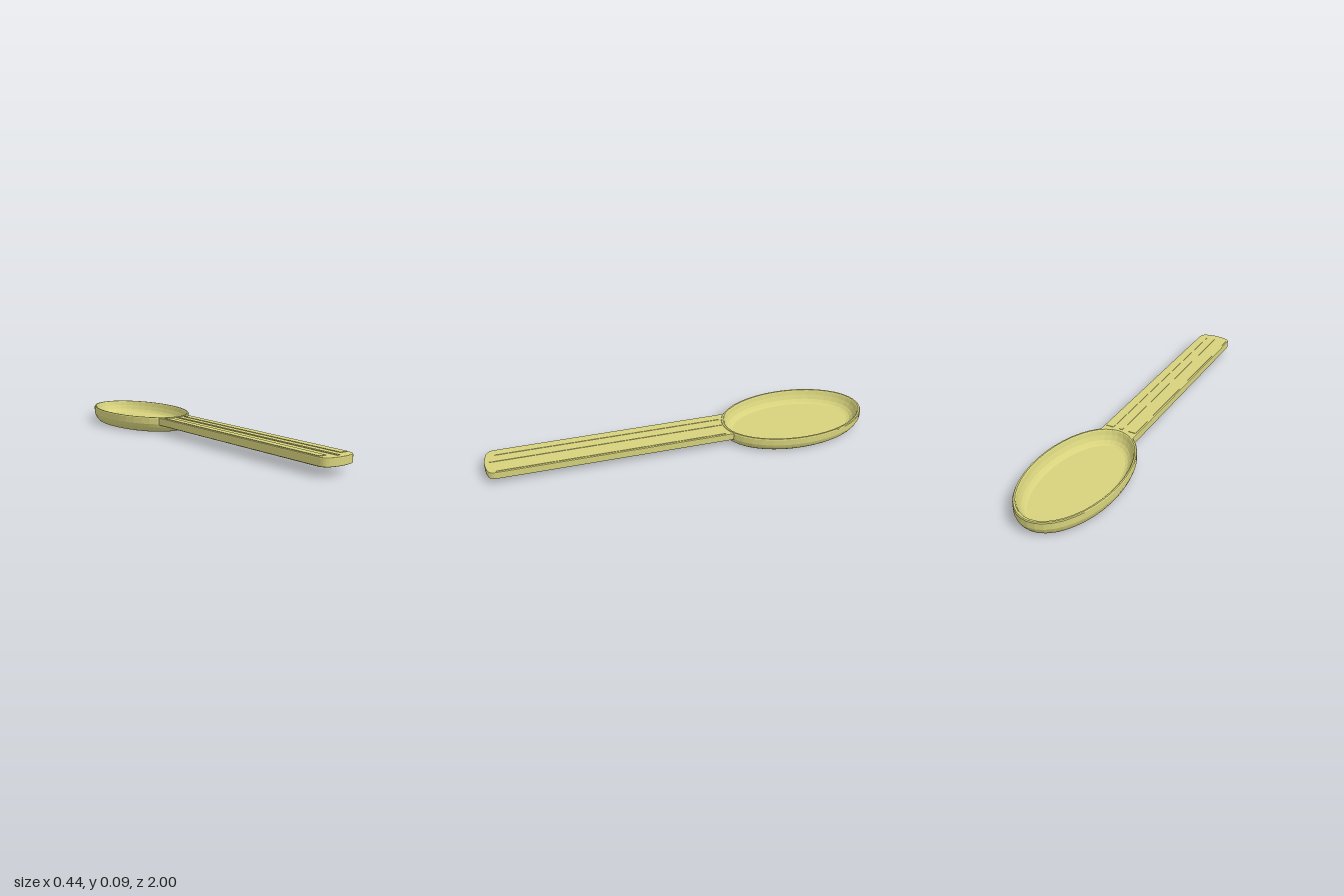
import * as THREE from 'three';

const BOWL_Z = -0.61, A = 0.222, B = 0.39, SEG = 40;

// Stacked ellipses from the underside, over the rim and down to the inner floor
function bowlGeometry() {
  const rings = [ // [inset, height]
    [0.036, 0], [0.026, 0.003], [0.015, 0.014], [0.006, 0.03], [0, 0.048], [0, 0.08],
    [0.003, 0.085], [0.01, 0.085], [0.014, 0.081], [0.02, 0.06], [0.03, 0.038], [0.042, 0.025], [0.054, 0.02],
  ];
  const pos = [], idx = [];
  for (const [inset, y] of rings) {
    for (let i = 0; i < SEG; i++) {
      const t = (i / SEG) * Math.PI * 2;
      pos.push((A - inset) * Math.sin(t), y, (B - inset * 1.25) * Math.cos(t));
    }
  }
  for (let r = 0; r < rings.length - 1; r++) {
    for (let i = 0; i < SEG; i++) {
      const j = (i + 1) % SEG, a = r * SEG + i, b = r * SEG + j;
      idx.push(a, b, b + SEG, a, b + SEG, a + SEG);
    }
  }
  // Flat underside and floor
  const bottom = pos.length / 3, floor = bottom + 1, last = (rings.length - 1) * SEG;
  pos.push(0, 0, 0, 0, 0.02, 0);
  for (let i = 0; i < SEG; i++) {
    const j = (i + 1) % SEG;
    idx.push(bottom, j, i, floor, last + i, last + j);
  }
  const g = new THREE.BufferGeometry();
  g.setAttribute('position', new THREE.Float32BufferAttribute(pos, 3));
  g.setIndex(idx);
  g.computeVertexNormals();
  return g;
}

// Flat bar with a rounded end; its other end follows the bowl's rim
function handleGeometry() {
  const w = 0.092, a = 0.215, b = 0.383, t0 = Math.asin(w / a);
  const s = new THREE.Shape();
  s.moveTo(-w, BOWL_Z + b * Math.cos(t0));
  for (let i = 1; i <= 8; i++) {
    const t = -t0 + (2 * t0 * i) / 8;
    s.lineTo(a * Math.sin(t), BOWL_Z + b * Math.cos(t));
  }
  s.lineTo(w, 0.945);
  s.quadraticCurveTo(w, 0.984, 0.056, 0.992);
  s.quadraticCurveTo(0, 1.008, -0.056, 0.992);
  s.quadraticCurveTo(-w, 0.984, -w, 0.945);
  const bevel = 0.005;
  const g = new THREE.ExtrudeGeometry(s, {
    depth: 0.041 - 2 * bevel, bevelEnabled: true, bevelSize: bevel, bevelThickness: bevel,
    bevelOffset: -bevel, bevelSegments: 2, curveSegments: 5,
  });
  g.rotateX(Math.PI / 2);
  g.translate(0, 0.083 - bevel, 0);
  return g;
}

export function createModel() {
  const model = new THREE.Group();
  const plastic = new THREE.MeshStandardMaterial({ color: 0xd6d27c, flatShading: true });
  plastic.name = 'pale yellow';

  const add = (name, geometry, x = 0, y = 0, z = 0) => {
    const m = new THREE.Mesh(geometry, plastic);
    m.name = name;
    m.position.set(x, y, z);
    model.add(m);
  };

  add('bowl', bowlGeometry(), 0, 0, BOWL_Z);
  add('handle', handleGeometry());

  // Shallow raised ribs on both faces of the handle
  const ribs = [[-0.083, -0.045, 0.945], [-0.01, 0.006, 0.975], [0.041, 0.083, 0.945]];
  for (const [x0, x1, end] of ribs) {
    for (const [side, y] of [['upper', 0.084], ['lower', 0.041]]) {
      const start = -0.215;
      add(side + 'Rib', new THREE.BoxGeometry(x1 - x0, 0.003, end - start), (x0 + x1) / 2, y, (start + end) / 2);
    }
  }
  return model;
}
